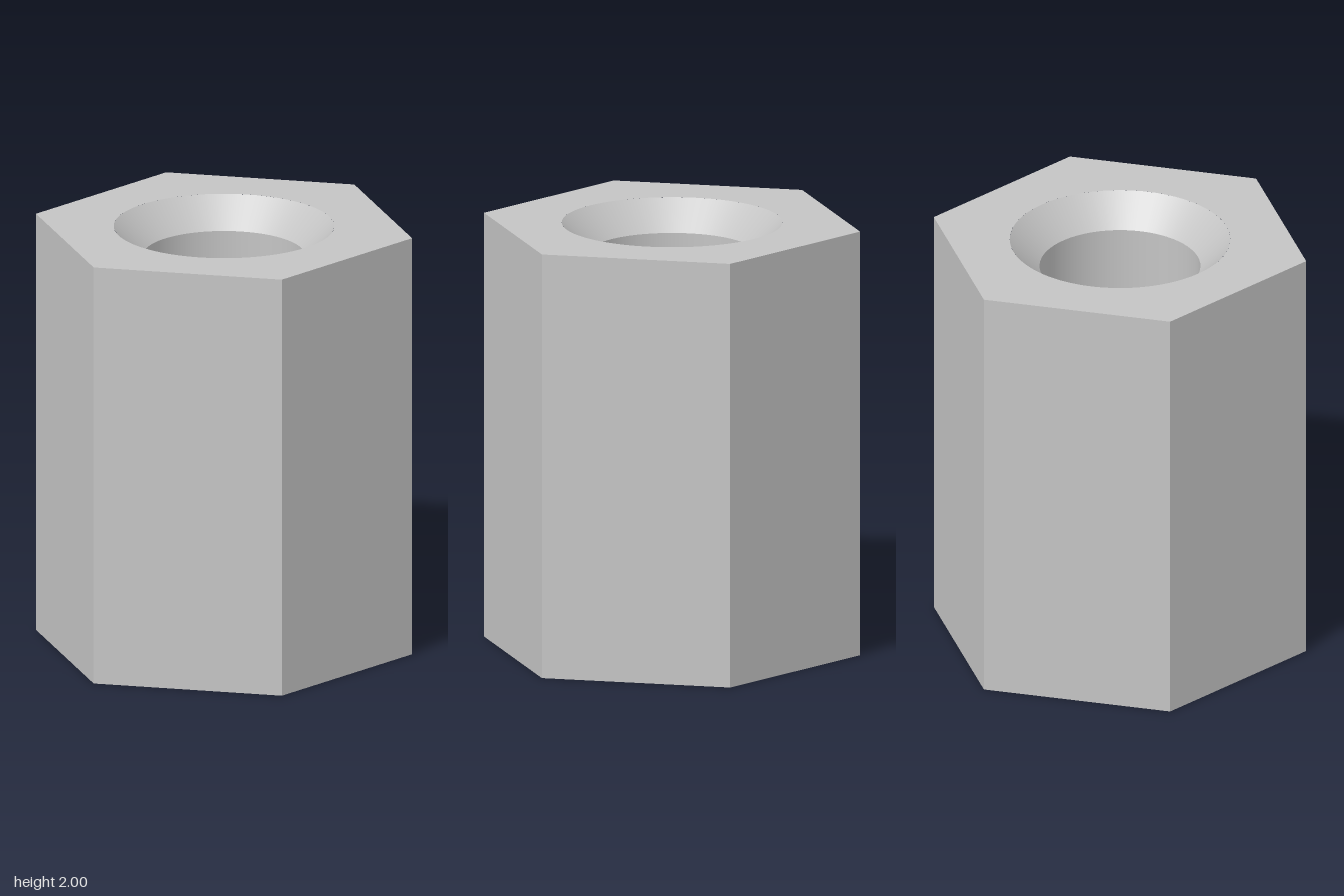
import * as THREE from 'three';

const R = 0.886;       // hexagon corner radius
const H = 2;           // height
const BORE = 0.37;     // bore radius
const MOUTH = 0.507;   // countersink radius at the top
const SEGMENTS = 64;

export function createModel() {
  const group = new THREE.Group();
  group.name = 'hexSpacer';
  const grey = new THREE.MeshStandardMaterial({ color: 0xc4c4c4 });
  grey.name = 'plainGrey';

  const add = (name, geometry) => {
    const mesh = new THREE.Mesh(geometry, grey);
    mesh.name = name;
    group.add(mesh);
    return mesh;
  };

  // Six flat outer walls, corners on the x axis
  const walls = new THREE.CylinderGeometry(R, R, H, 6, 1, true, Math.PI / 6).toNonIndexed();
  walls.computeVertexNormals();
  add('outerWalls', walls).position.y = H / 2;

  // Hexagonal end faces with round openings
  const endFace = (name, holeRadius, y, tilt) => {
    const shape = new THREE.Shape();
    for (let i = 0; i < 6; i++) {
      const a = (i * Math.PI) / 3;
      shape[i ? 'lineTo' : 'moveTo'](R * Math.cos(a), R * Math.sin(a));
    }
    shape.closePath();
    const hole = new THREE.Path();
    hole.absarc(0, 0, holeRadius, 0, Math.PI * 2, true);
    shape.holes.push(hole);
    const face = add(name, new THREE.ShapeGeometry(shape, SEGMENTS));
    face.rotation.x = tilt;
    face.position.y = y;
  };
  endFace('topFace', MOUTH, H, -Math.PI / 2);
  endFace('bottomFace', BORE, 0, Math.PI / 2);

  // Inner surfaces: each is one straight segment revolved, so its edges stay sharp
  const chamferY = H - (MOUTH - BORE);
  const floorY = 0.5, ceilingY = 0.36;
  const inner = [
    ['countersink', [MOUTH, H], [BORE, chamferY]],
    ['upperBore', [BORE, chamferY], [BORE, floorY]],
    ['upperBoreFloor', [BORE, floorY], [0, floorY]],
    ['lowerBoreCeiling', [0, ceilingY], [BORE, ceilingY]],
    ['lowerBore', [BORE, ceilingY], [BORE, 0]],
  ];
  for (const [name, from, to] of inner) {
    const profile = [new THREE.Vector2(...from), new THREE.Vector2(...to)];
    add(name, new THREE.LatheGeometry(profile, SEGMENTS));
  }

  return group;
}
